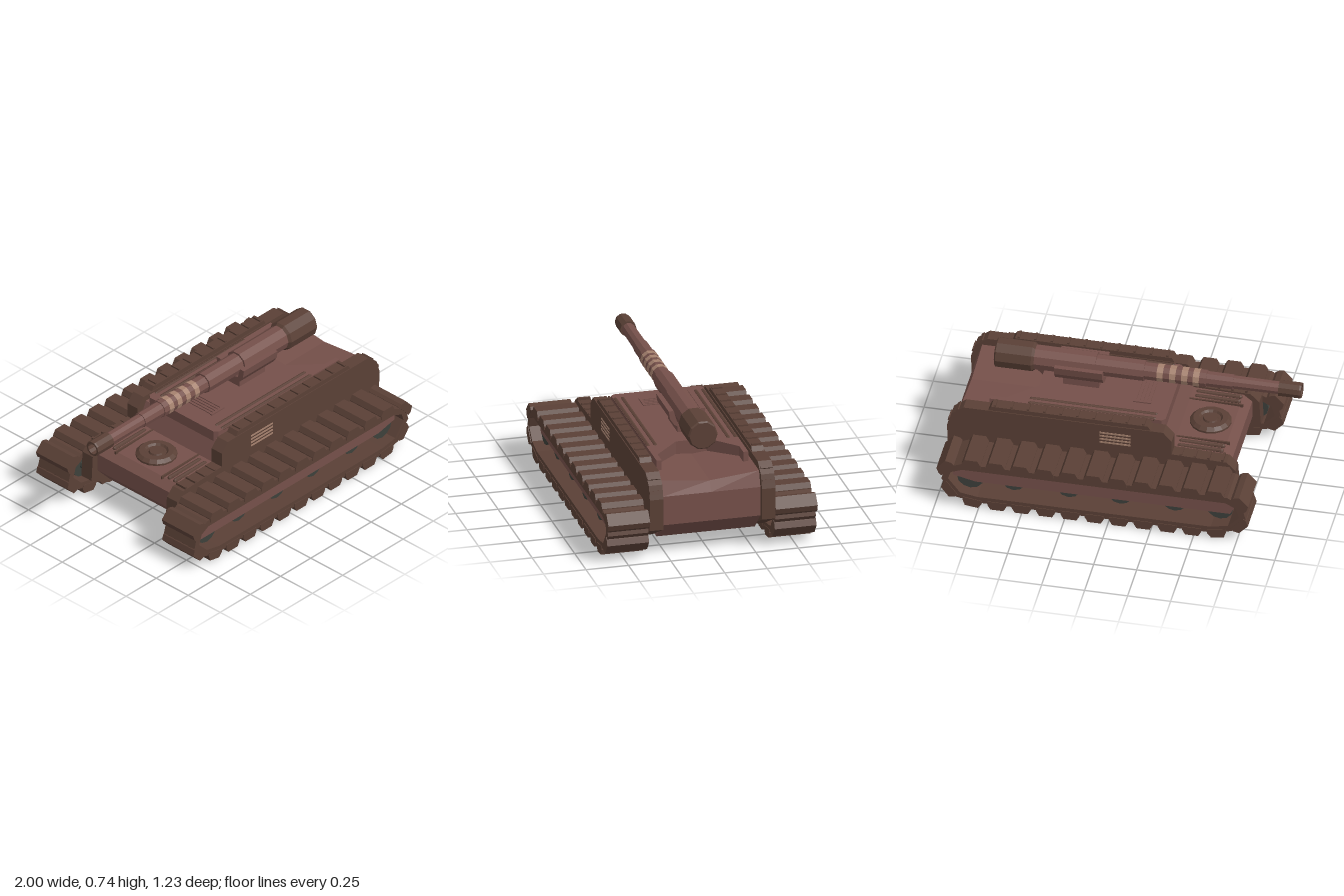
import * as THREE from 'three';

const mat = (color) => new THREE.MeshStandardMaterial({ color, flatShading: true, side: THREE.DoubleSide });

export function createModel() {
  const model = new THREE.Group();
  const hullMat = mat(0x75504a), brown = mat(0x5a4036), tan = mat(0xa6826f), dark = mat(0x3d403b);

  const add = (name, geo, material, parent = model) => {
    const m = new THREE.Mesh(geo, material);
    m.name = name;
    parent.add(m);
    return m;
  };
  // box given by its min and max on each axis
  const box = (name, x0, x1, y0, y1, z0, z1, material, parent) => {
    const m = add(name, new THREE.BoxGeometry(x1 - x0, y1 - y0, z1 - z0), material, parent);
    m.position.set((x0 + x1) / 2, (y0 + y1) / 2, (z0 + z1) / 2);
    return m;
  };
  const shapeOf = (pts) => new THREE.Shape(pts.map(([x, y]) => new THREE.Vector2(x, y)));
  // x-y outline extruded between two z values
  const slab = (shape, z0, z1, steps = 1) =>
    new THREE.ExtrudeGeometry(shape, { depth: z1 - z0, bevelEnabled: false, steps }).translate(0, 0, z0);

  // Central hull, its rear edge dipping to a shallow V in the middle
  const hullGeo = slab(shapeOf([[-0.55, 0.09], [0.83, 0.09], [0.95, 0.205], [0.95, 0.38], [0.92, 0.47],
    [0.5, 0.47], [-0.25, 0.48], [-0.31, 0.36], [-0.6, 0.35], [-0.65, 0.31], [-0.65, 0.2]]), -0.29, 0.29, 2);
  const hp = hullGeo.attributes.position;
  for (let i = 0; i < hp.count; i++)
    if (Math.abs(hp.getZ(i)) < 0.01 && hp.getX(i) > 0.45 && hp.getY(i) > 0.45) hp.setY(i, 0.44);
  add('hull', hullGeo, hullMat);

  // Raised deck with a notch at the rear
  const deck = slab(shapeOf([[-0.26, -0.25], [-0.24, -0.27], [0.76, -0.27], [0.76, -0.24], [0.67, -0.24], [0.51, -0.09],
    [0.51, 0.09], [0.67, 0.24], [0.76, 0.24], [0.76, 0.27], [-0.24, 0.27], [-0.26, 0.25]]), 0, 0.085);
  add('deck', deck.rotateX(-Math.PI / 2).translate(0, 0.44, 0), hullMat);

  // Round hatch on the low front deck
  const hatch = new THREE.LatheGeometry([[0.12, 0], [0.12, 0.012], [0.1, 0.03], [0.07, 0.03], [0.06, 0.018],
    [0.045, 0.018], [0.04, 0.028], [0, 0.028]].map(([r, y]) => new THREE.Vector2(r, y)), 16);
  add('hatch', hatch, brown).position.set(-0.47, 0.357, 0);

  // Engine grille
  for (let i = 0; i < 5; i++) box('grilleBar', -0.145 + i * 0.021, -0.133 + i * 0.021, 0.51, 0.53, -0.12, 0.12, hullMat);
  for (const z of [-0.125, 0.125]) box('grilleFrame', -0.15, -0.045, 0.51, 0.532, z - 0.007, z + 0.007, hullMat);

  // Gun: stepped barrel with an open muzzle, darker muzzle and breech sleeves
  const gun = new THREE.Group();
  gun.name = 'gun';
  gun.position.y = 0.657;
  model.add(gun);
  const lathe = (pts) => new THREE.LatheGeometry(pts.map(([r, y]) => new THREE.Vector2(r, y)), 10).rotateZ(-Math.PI / 2);
  add('muzzle', lathe([[0, -0.93], [0.032, -0.93], [0.034, -1], [0.045, -1], [0.048, -0.99], [0.048, -0.87], [0.038, -0.87]]), brown, gun);
  add('barrel', lathe([[0.038, -0.87], [0.04, -0.605], [0.045, -0.605], [0.046, -0.45], [0.052, -0.45], [0.052, -0.09],
    [0.062, -0.09], [0.062, 0.19], [0.074, 0.19], [0.074, 0.55]]), hullMat, gun);
  add('breech', lathe([[0.074, 0.545], [0.088, 0.56], [0.088, 0.767], [0.08, 0.775], [0, 0.775]]), brown, gun);
  for (const x of [-0.41, -0.343, -0.273, -0.2])
    add('barrelStripe', lathe([[0.05, x], [0.0535, x], [0.0535, x + 0.036], [0.05, x + 0.036]]), tan, gun);

  // Cradle shell below the barrel, on a pedestal
  const cradle = shapeOf([[-0.108, 0.018], [-0.1, -0.03], [-0.075, -0.068], [-0.035, -0.092], [0.035, -0.092], [0.075, -0.068],
    [0.1, -0.03], [0.108, 0.018], [0.078, 0.018], [0.06, -0.042], [0, -0.068], [-0.06, -0.042], [-0.078, 0.018]]);
  add('cradle', slab(cradle, 0.14, 0.42).rotateY(Math.PI / 2), hullMat, gun);
  box('pedestal', 0.17, 0.38, 0.5, 0.58, -0.045, 0.045, hullMat);

  // Track loop, from its centre line
  const loop = [[-0.69, 0.278], [0.85, 0.278], [0.93, 0.245], [0.95, 0.18], [0.87, 0.075], [0.76, 0.055],
    [-0.6, 0.055], [-0.71, 0.08], [-0.785, 0.16], [-0.76, 0.24]];
  const path = new THREE.CurvePath();
  const loopV = loop.map(([x, y]) => new THREE.Vector3(x, y, 0));
  loopV.forEach((p, i) => path.add(new THREE.LineCurve3(p, loopV[(i + 1) % loopV.length])));
  // moves the loop's corners outward along the mean of the neighbouring normals
  const offset = (d) => loopV.map((p, i) => {
    const n = loopV.length;
    const t = loopV[(i + 1) % n].clone().sub(p).normalize().add(p.clone().sub(loopV[(i + n - 1) % n]).normalize()).normalize();
    return new THREE.Vector2(p.x - t.y * d, p.y + t.x * d);
  });
  const beltShape = new THREE.Shape(offset(0.018));
  beltShape.holes.push(new THREE.Path(offset(-0.022)));
  const linkShape = shapeOf([[-0.055, 0], [0.055, 0], [0.055, 0.022], [0.038, 0.053], [-0.038, 0.053], [-0.055, 0.022]]);
  const links = 26;

  // Armoured side plate and wheel skirt outlines
  const sidePlate = shapeOf([[-0.55, 0.068], [0.74, 0.068], [0.98, 0.19], [0.985, 0.38], [0.96, 0.46], [0.89, 0.515],
    [-0.27, 0.515], [-0.32, 0.46], [-0.32, 0.37], [-0.64, 0.36], [-0.69, 0.31], [-0.7, 0.15]]);
  const skirt = shapeOf([[-0.7, 0.145], [0.78, 0.145], [0.91, 0.175], [0.91, 0.225], [0.84, 0.264], [-0.68, 0.264], [-0.74, 0.22]]);

  for (const s of [1, -1]) {
    const side = new THREE.Group();
    side.name = s > 0 ? 'frontSide' : 'backSide';
    model.add(side);
    // z range on this side
    const zr = (a, b) => (s > 0 ? [a, b] : [-b, -a]);

    add('sidePlate', slab(sidePlate, ...zr(0.29, 0.37)), brown, side);
    add('topRail', slab(shapeOf([[-0.2, 0.51], [0.75, 0.51], [0.73, 0.542], [-0.18, 0.542]]), ...zr(0.295, 0.365)), brown, side);
    for (let i = 0; i < 10; i++) {
      const x = -0.16 + i * 0.096;
      box('railRib', x, x + 0.014, 0.51, 0.551, ...zr(0.3, 0.36), brown, side);
    }
    for (const x of [-0.62, -0.54, -0.46, -0.38]) box('frontRib', x, x + 0.014, 0.35, 0.375, ...zr(0.295, 0.368), brown, side);
    // Rib bands around the rear corner
    for (const [x, y, a] of [[0.925, 0.488, -0.67], [0.972, 0.42, -1.27]])
      box('cornerRib', x - 0.01, x + 0.01, y - 0.008, y + 0.008, ...zr(0.295, 0.368), brown, side).rotation.z = a;

    // Side vent slats
    for (let i = 0; i < 4; i++) box('ventSlat', -0.08, 0.1, 0.39 + i * 0.022, 0.401 + i * 0.022, ...zr(0.365, 0.372), tan, side);

    // Long rounded bars on both decks
    for (const z of [0.215, 0.258]) {
      for (const [x0, x1, y] of [[-0.21, 0.54, 0.518], [-0.6, -0.33, 0.355]]) {
        const bar = add('deckBar', new THREE.CapsuleGeometry(0.013, x1 - x0 - 0.026, 2, 8).rotateZ(Math.PI / 2), brown, side);
        bar.position.set((x0 + x1) / 2, y, s * z);
      }
    }
    box('deckRod', -0.62, -0.3, 0.345, 0.364, ...zr(0.176, 0.186), brown, side);

    // Track: closed belt with raised links
    const track = new THREE.Group();
    track.name = 'track';
    side.add(track);
    add('trackBelt', slab(beltShape, ...zr(0.373, 0.612)), brown, track);
    const linkGeo = slab(linkShape, ...zr(0.37, 0.616));
    for (let i = 0; i < links; i++) {
      const u = (i + 0.5) / links;
      const t = path.getPointAt((u + 0.012) % 1).sub(path.getPointAt((u + 0.988) % 1));
      const link = add('trackLink', linkGeo, brown, track);
      link.position.copy(path.getPointAt(u));
      link.rotation.z = Math.atan2(t.y, t.x) + Math.PI * 2;
    }

    // Skirt and road wheels inside the track
    add('wheelSkirt', slab(skirt, ...zr(0.52, 0.56)), hullMat, side);
    for (const [x, y, r] of [[-0.64, 0.178, 0.078], [-0.375, 0.19, 0.075], [-0.06, 0.19, 0.075], [0.24, 0.19, 0.075],
      [0.56, 0.19, 0.075], [0.81, 0.175, 0.08]]) {
      const wheel = add('roadWheel', new THREE.CylinderGeometry(r, r, 0.14, 12).rotateX(Math.PI / 2), dark, side);
      wheel.position.set(x, y, s * 0.485);
      const axle = add('axle', new THREE.CylinderGeometry(0.025, 0.025, 0.1, 8).rotateX(Math.PI / 2), dark, side);
      axle.position.set(x, y, s * 0.4);
    }
  }
  return model;
}
